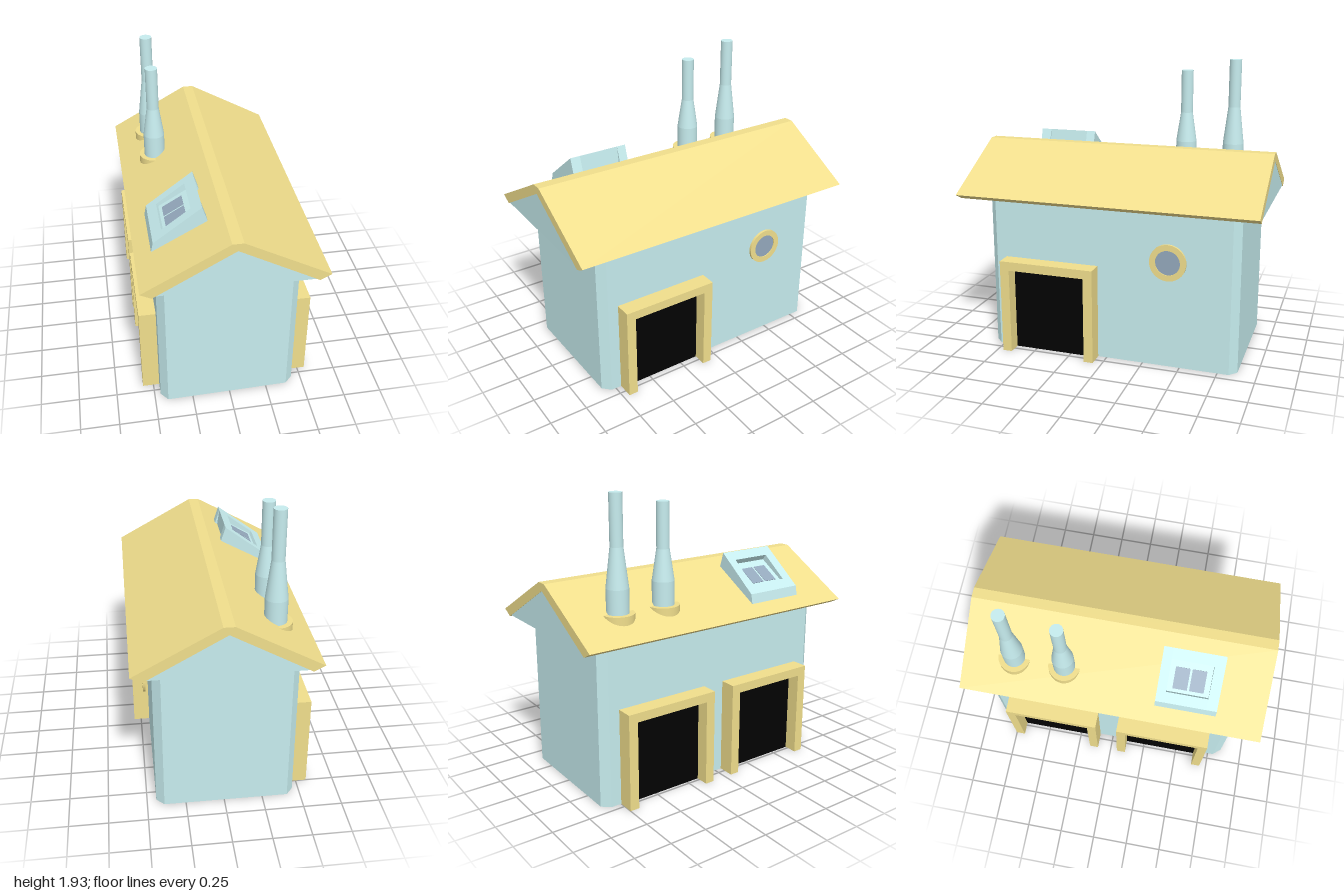
import * as THREE from 'three';

const paint = (color) => new THREE.MeshStandardMaterial({ color });

export function createModel() {
  const model = new THREE.Group();
  const blue = paint(0xc6ecee), ochre = paint(0xf0de8c);
  const glass = paint(0x94a8bc), black = paint(0x030303);

  const add = (name, geometry, material, parent = model) => {
    const mesh = new THREE.Mesh(geometry, material);
    mesh.name = name;
    parent.add(mesh);
    return mesh;
  };
  const toShape = (pts) => new THREE.Shape(pts.map(([x, y]) => new THREE.Vector2(x, y)));
  // Extrude an x/y outline between two z values
  const prism = (shape, z0, z1, curveSegments = 12) =>
    new THREE.ExtrudeGeometry(shape, { depth: z1 - z0, bevelEnabled: false, curveSegments }).translate(0, 0, z0);
  const box = (w, h, d, x, y, z) => new THREE.BoxGeometry(w, h, d).translate(x, y, z);

  // Walls: thick open tube with cut outer corners, plan given as x, -z, counter-clockwise
  const walls = toShape([[0.44, 0.825], [0.39, 0.873], [-0.415, 0.873], [-0.46, 0.82],
    [-0.46, -0.79], [-0.415, -0.845], [0.39, -0.83], [0.44, -0.78]]);
  walls.holes.push(toShape([[0.35, 0.785], [0.35, -0.75], [-0.37, -0.75], [-0.37, 0.785]]));
  add('walls', prism(walls, 0, 1.03).rotateX(-Math.PI / 2), blue);

  // Roof: thick gabled shell over a solid triangular filling
  add('roof', prism(toShape([[-0.57, 1.075], [-0.5, 1.038], [0, 1.32], [0.5, 1.038],
    [0.57, 1.075], [0.035, 1.37], [-0.035, 1.37]]), -1, 1), ochre);
  add('gable', prism(toShape([[-0.48, 1.05], [0.48, 1.05], [0, 1.321]]), -0.998, 0.998), blue);

  // Doorways: three-sided frame around a recessed dark panel
  const doorway = (name, side, wallX, outerX, z) => {
    const group = new THREE.Group();
    group.name = name;
    const depth = outerX - wallX + 0.02;
    const x = side * (outerX - depth / 2);
    for (const end of [-1, 1])
      add('doorPost', box(depth, 0.64, 0.063, x, 0.32, z + end * 0.2935), ochre, group);
    add('doorLintel', box(depth, 0.06, 0.524, x, 0.61, z), ochre, group);
    add('doorPanel', box(0.04, 0.58, 0.524, side * wallX, 0.29, z), black, group);
    model.add(group);
  };
  doorway('rightDoorway', 1, 0.44, 0.55, 0.385);
  doorway('frontLeftDoorway', -1, 0.46, 0.57, 0.375);
  doorway('backLeftDoorway', -1, 0.46, 0.57, -0.425);

  // Round window with ring frame
  const ring = new THREE.Shape().absarc(0, 0, 0.12, 0, Math.PI * 2);
  ring.holes.push(new THREE.Path().absarc(0, 0, 0.081, 0, Math.PI * 2, true));
  const roundWindow = new THREE.Group();
  roundWindow.name = 'roundWindow';
  roundWindow.position.set(0.47, 0.725, -0.423);
  roundWindow.rotation.y = Math.PI / 2;
  add('windowRing', prism(ring, 0, 0.016, 24), ochre, roundWindow);
  add('windowPane', new THREE.CylinderGeometry(0.083, 0.083, 0.008, 40)
    .rotateX(Math.PI / 2).translate(0, 0, 0.006), glass, roundWindow);
  model.add(roundWindow);

  // Chimneys: straight pipe, flared shoulder and wide foot in a collar
  const chimney = (z, top, neck) => {
    const group = new THREE.Group();
    group.name = 'chimney';
    group.position.set(-0.331, 0, z);
    const section = (name, rTop, rBottom, y0, y1, material) =>
      add(name, new THREE.CylinderGeometry(rTop, rBottom, y1 - y0, 32)
        .translate(0, (y0 + y1) / 2, 0), material, group);
    section('chimneyPipe', 0.041, 0.041, neck, top, blue);
    section('chimneyShoulder', 0.041, 0.071, 1.36, neck, blue);
    section('chimneyFoot', 0.071, 0.071, 1.13, 1.36, blue);
    section('chimneyCollar', 0.105, 0.105, 1.12, 1.205, ochre);
    model.add(group);
  };
  chimney(-0.333, 1.85, 1.56);
  chimney(-0.665, 1.93, 1.61);

  // Skylight: tilted block, full at both ends, recessed in the middle
  const skylight = new THREE.Group();
  skylight.name = 'skylight';
  const base = [[-0.47, 1.12], [-0.36, 1.05], [-0.25, 1.03]];
  const low = [-0.455, 1.195], high = [-0.155, 1.42];
  const angle = Math.atan2(high[1] - low[1], high[0] - low[0]);
  // Point on the sloping top at a given x, sunk by a depth
  const onTop = (x, sink) => [x + Math.sin(angle) * sink,
    low[1] + (x - low[0]) * Math.tan(angle) - Math.cos(angle) * sink];
  const floorHigh = onTop(-0.215, 0.045), floorLow = onTop(-0.395, 0.022);
  const endShape = toShape([...base, [-0.03, 1.03], high, low]);
  const middleShape = toShape([...base, [-0.1, 1.03], high, onTop(-0.215, 0),
    floorHigh, floorLow, onTop(-0.395, 0), low]);
  add('skylightFrontEnd', prism(endShape, 0.62, 0.688), blue, skylight);
  add('skylightBackEnd', prism(endShape, 0.287, 0.347), blue, skylight);
  add('skylightMiddle', prism(middleShape, 0.347, 0.62), blue, skylight);

  // Two panes lying on the floor of the recess
  const floorAngle = Math.atan2(floorHigh[1] - floorLow[1], floorHigh[0] - floorLow[0]);
  for (const z of [0.429, 0.537]) {
    const pane = add('skylightPane', new THREE.BoxGeometry(0.145, 0.004, 0.094), glass, skylight);
    pane.position.set(-0.3, floorLow[1] + (-0.3 - floorLow[0]) * Math.tan(floorAngle) + 0.001, z);
    pane.rotation.z = floorAngle;
  }
  model.add(skylight);

  return model;
}
